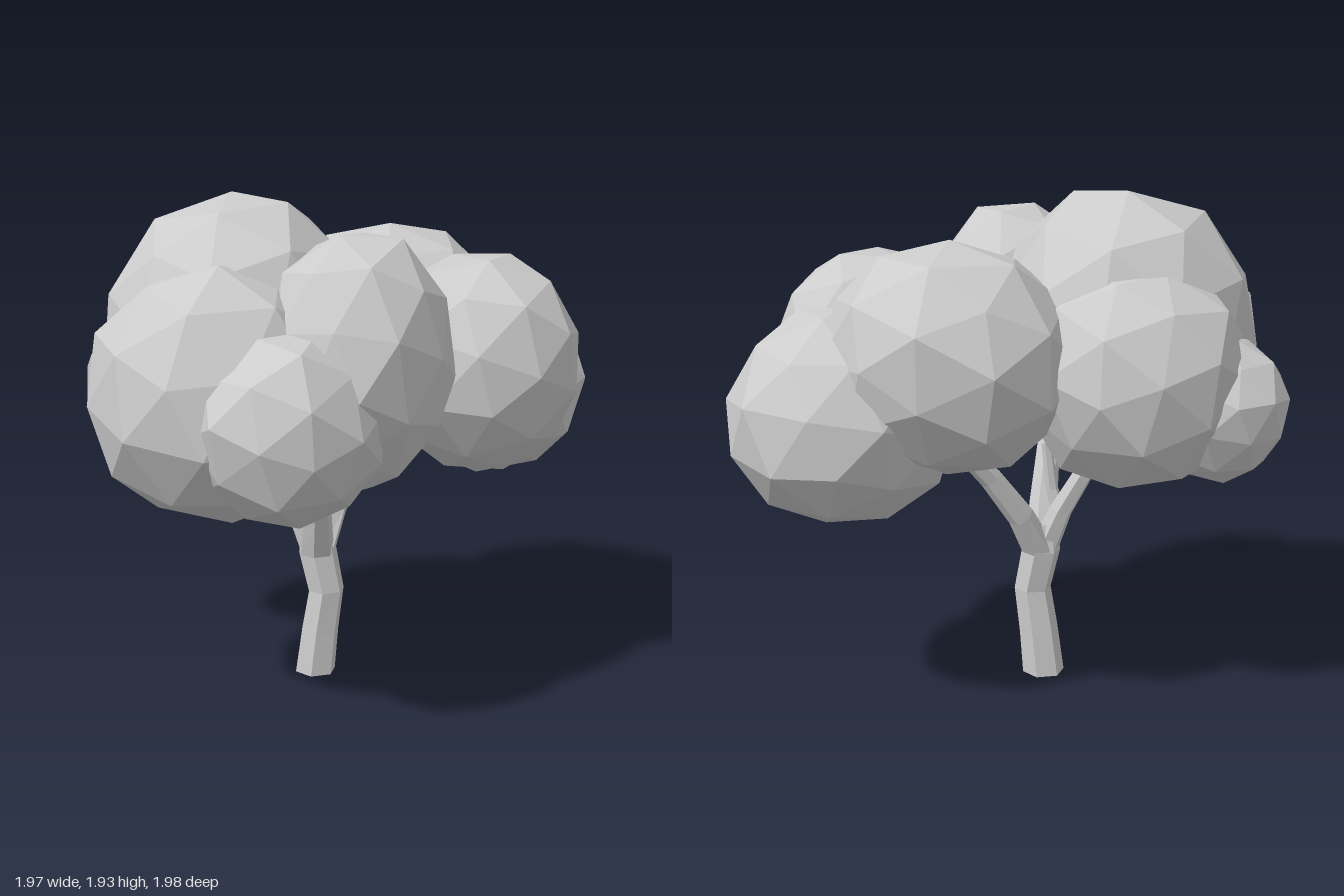
import * as THREE from 'three';

const material = new THREE.MeshStandardMaterial({ color: 0xcccccc, flatShading: true });

// Deterministic noise in -1..1, so that coincident corners move together
function noise(v, seed) {
  const n = Math.sin(Math.round(v.x * 100) * 12.9 + Math.round(v.y * 100) * 78.2 +
    Math.round(v.z * 100) * 37.7 + seed * 4.1) * 43758.5;
  return (n - Math.floor(n)) * 2 - 1;
}

// Faceted, slightly uneven ellipsoid of leaves
function leafClump(name, center, radii, seed) {
  const geometry = new THREE.IcosahedronGeometry(1, 1);
  geometry.rotateY(seed * 0.7);
  geometry.rotateX(seed * 0.4);
  const p = geometry.attributes.position;
  const v = new THREE.Vector3();
  for (let i = 0; i < p.count; i++) {
    v.fromBufferAttribute(p, i);
    v.multiplyScalar(1.015 + 0.035 * noise(v, seed));
    p.setXYZ(i, v.x * radii[0], v.y * radii[1], v.z * radii[2]);
  }
  geometry.computeVertexNormals();
  const mesh = new THREE.Mesh(geometry, material);
  mesh.name = name;
  mesh.position.set(...center);
  return mesh;
}

// Six-sided tapering limb through points [x, y, z, radius]
function limb(name, path) {
  const n = path.length - 1;
  const points = path.map(q => new THREE.Vector3(q[0], q[1], q[2]));
  const geometry = new THREE.CylinderGeometry(1, 1, 1, 6, n);
  const p = geometry.attributes.position;
  const up = new THREE.Vector3(0, 1, 0);
  const turns = points.map((_, i) => {
    const dir = points[Math.min(i + 1, n)].clone().sub(points[Math.max(i - 1, 0)]).normalize();
    return new THREE.Quaternion().setFromUnitVectors(up, dir);
  });
  turns[0].identity();
  const v = new THREE.Vector3();
  for (let i = 0; i < p.count; i++) {
    const k = Math.round((p.getY(i) + 0.5) * n);
    v.set(p.getX(i), 0, p.getZ(i)).multiplyScalar(path[k][3]);
    v.applyQuaternion(turns[k]).add(points[k]);
    p.setXYZ(i, v.x, v.y, v.z);
  }
  geometry.computeVertexNormals();
  const mesh = new THREE.Mesh(geometry, material);
  mesh.name = name;
  return mesh;
}

export function createModel() {
  const tree = new THREE.Group();
  tree.name = 'tree';

  // Trunk and the branches that fork from it
  const wood = new THREE.Group();
  wood.name = 'wood';
  wood.add(
    limb('trunk', [[-0.03, 0, -0.035, 0.083], [-0.01, 0.18, -0.035, 0.077],
      [0.015, 0.35, -0.035, 0.073], [-0.022, 0.52, -0.037, 0.077], [-0.02, 0.62, -0.03, 0.06]]),
    limb('frontBranch', [[-0.02, 0.5, -0.03, 0.07], [0, 0.68, 0.055, 0.056],
      [0.01, 0.85, 0.14, 0.048], [0.03, 1.1, 0.29, 0.04]]),
    limb('backBranch', [[-0.02, 0.5, -0.04, 0.07], [0.03, 0.67, -0.13, 0.052],
      [0.12, 0.84, -0.22, 0.044], [0.25, 1.05, -0.36, 0.035]]),
    limb('leftBranch', [[-0.03, 0.52, -0.03, 0.062], [-0.1, 0.68, -0.03, 0.046],
      [-0.18, 0.82, -0.02, 0.04], [-0.28, 1.0, 0, 0.035]]),
    limb('twig', [[-0.09, 0.66, -0.02, 0.03], [-0.06, 0.76, -0.02, 0.025], [-0.04, 0.95, -0.03, 0.02]])
  );
  tree.add(wood);

  // Overlapping clumps of the crown: name, center, radii
  const crown = new THREE.Group();
  crown.name = 'crown';
  [
    ['mainClump', [-0.31, 1.39, 0.1], [0.5, 0.54, 0.57]],
    ['frontRightClump', [-0.29, 1.24, 0.43], [0.48, 0.48, 0.48]],
    ['frontLeftClump', [0.2, 1.36, 0.32], [0.36, 0.48, 0.44]],
    ['lowFrontClump', [0.01, 1.18, 0.6], [0.35, 0.36, 0.4]],
    ['smallSideClump', [-0.71, 1.16, -0.12], [0.28, 0.27, 0.25]],
    ['leftClump', [0.58, 1.28, -0.2], [0.41, 0.43, 0.43]],
    ['lowBackClump', [0.56, 1.14, -0.57], [0.42, 0.4, 0.43]],
    ['backClump', [0.19, 1.35, -0.46], [0.48, 0.42, 0.46]],
    ['backRightClump', [-0.43, 1.28, -0.2], [0.42, 0.42, 0.4]]
  ].forEach(([name, center, radii], i) => crown.add(leafClump(name, center, radii, i + 1)));
  tree.add(crown);

  return tree;
}
